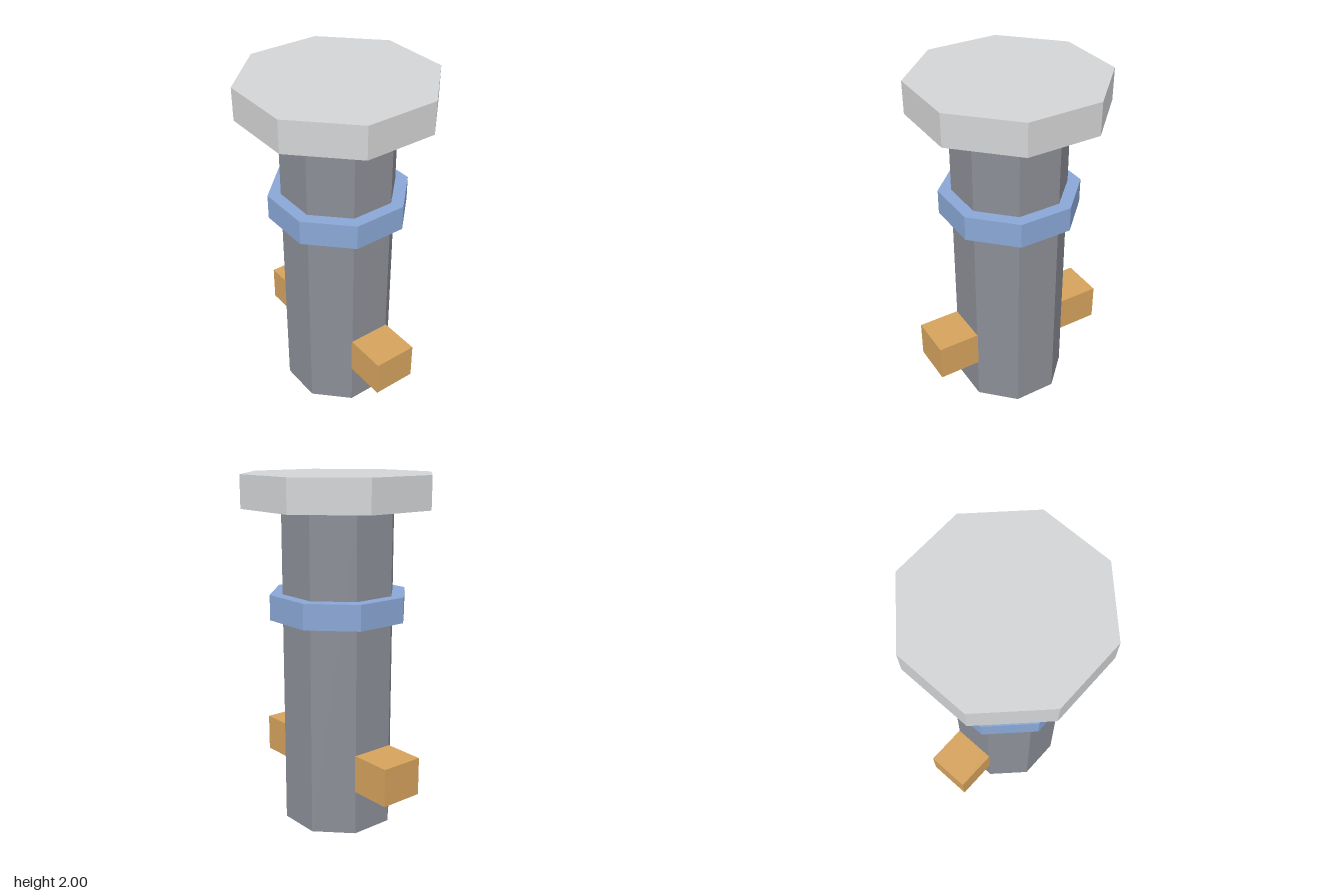
import * as THREE from 'three';

const paint = (name, color) => {
  const m = new THREE.MeshStandardMaterial({ color, flatShading: true });
  m.name = name;
  return m;
};

export function createModel() {
  const group = new THREE.Group();
  const darkGrey = paint('dark grey', 0x8b8e96);
  const lightGrey = paint('light grey', 0xd3d4d5);
  const blue = paint('blue', 0x8aa7d6);
  const orange = paint('orange', 0xd5a25d);

  const add = (name, geometry, material, y) => {
    const mesh = new THREE.Mesh(geometry, material);
    mesh.name = name;
    mesh.position.y = y;
    group.add(mesh);
  };

  // Octagonal prism with flat sides facing the axes, sized across its flats
  const octagon = (name, halfWidth, bottom, top, material) => {
    const r = halfWidth / Math.cos(Math.PI / 8);
    const geometry = new THREE.CylinderGeometry(r, r, top - bottom, 8, 1, false, Math.PI / 8);
    add(name, geometry, material, (bottom + top) / 2);
  };

  octagon('shaft', 0.3, 0, 1.82, darkGrey);
  octagon('collar', 0.368, 1.205, 1.348, blue);
  octagon('head', 0.503, 1.82, 2, lightGrey);

  // Square pin passing through the lower shaft
  add('crossPin', new THREE.BoxGeometry(1.086, 0.217, 0.254), orange, 0.367);

  return group;
}
